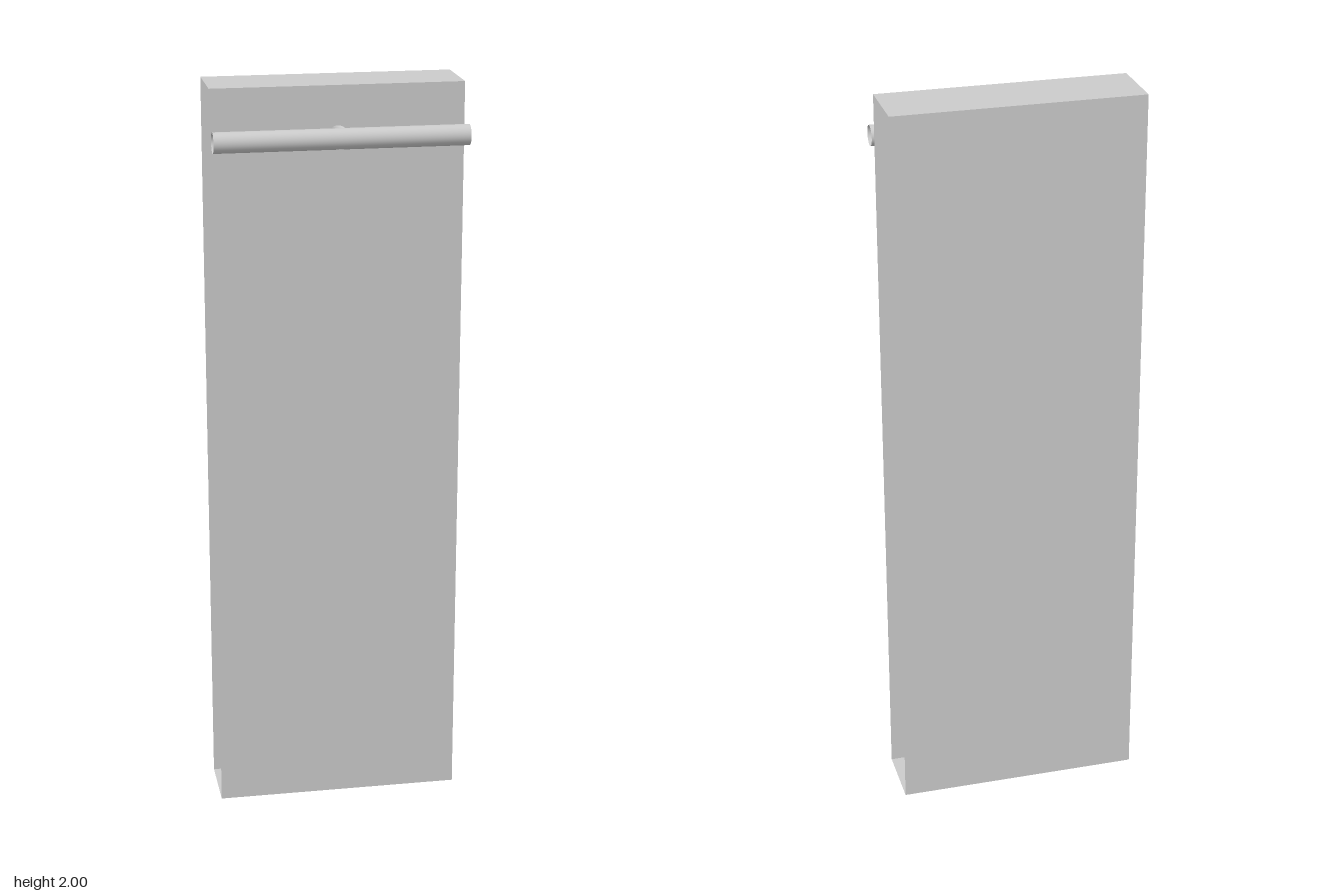
import * as THREE from 'three';

export function createModel() {
  const group = new THREE.Group();
  const material = new THREE.MeshStandardMaterial({ color: 0xcccccc, side: THREE.DoubleSide });
  const add = (name, geometry, x, y, z) => {
    const mesh = new THREE.Mesh(geometry, material);
    mesh.name = name;
    mesh.position.set(x, y, z);
    group.add(mesh);
  };
  // Thin-walled round tube, open at both ends
  const tube = (radius, length) => new THREE.CylinderGeometry(radius, radius, length, 32, 1, true);

  // Rectangular sleeve: top, bottom, front and back only, open at both sides
  const width = 0.662, back = -0.133, front = 0.048;
  const sleeve = new THREE.BoxGeometry(width, 2, front - back);
  sleeve.setIndex(Array.from(sleeve.index.array).slice(12)); // drop the +x and -x faces
  sleeve.clearGroups();
  add('panelSleeve', sleeve, 0, 1, (front + back) / 2);

  // Horizontal handle bar across the full width
  add('handleBar', tube(0.027, width).rotateZ(Math.PI / 2), 0, 1.873, 0.106);

  // Short stem joining the bar to the panel, running on inside the sleeve
  add('handleStem', tube(0.0265, 0.104).rotateX(Math.PI / 2), 0, 1.87, 0.052);

  return group;
}
